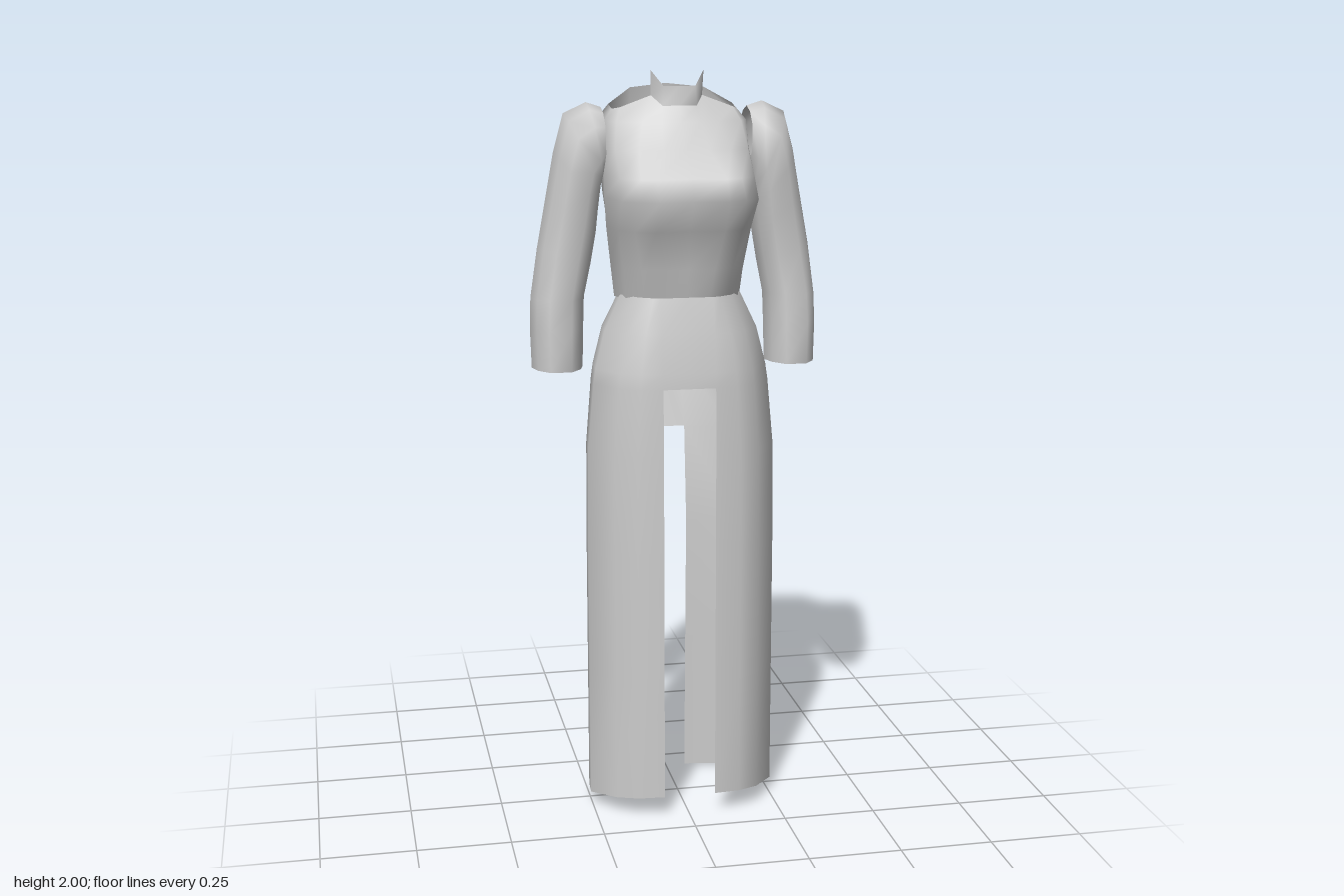
import * as THREE from 'three';

const cloth = new THREE.MeshStandardMaterial({ color: 0xcccccc, side: THREE.DoubleSide });
cloth.name = 'grey cloth';

// Skin rows of points, listed top to bottom, each running front -> +x -> back -> -x
function loft(name, rows, closed = true, skip = () => false) {
  const n = rows[0].length;
  const index = [];
  for (let r = 0; r < rows.length - 1; r++) {
    for (let i = 0; i < (closed ? n : n - 1); i++) {
      if (skip(r, i, n)) continue;
      const j = (i + 1) % n;
      const a = r * n + i, b = r * n + j, c = a + n, d = b + n;
      index.push(a, c, b, b, c, d);
    }
  }
  const geometry = new THREE.BufferGeometry();
  geometry.setAttribute('position', new THREE.Float32BufferAttribute(rows.flat(2), 3));
  geometry.setIndex(index);
  geometry.computeVertexNormals();
  const mesh = new THREE.Mesh(geometry, cloth);
  mesh.name = name;
  return mesh;
}

// Complete a half ring (front centre to back centre) by mirroring it
const mirrorRing = half => [
  ...half,
  ...half.slice(1, -1).reverse().map(([x, y, z]) => [-x, y, z]),
];

function makeBodice() {
  const neckline = [
    [0, 1.91, 0.03], [0.045, 1.91, 0.03], [0.068, 1.935, -0.014], [0.15, 1.905, -0.015],
    [0.165, 1.9, -0.05], [0.167, 1.91, -0.095], [0.1, 1.95, -0.145], [0, 1.96, -0.165],
  ];
  // height, then x,z pairs from front centre to back centre
  const sections = [
    [1.87, [0, .06], [.05, .057], [.1, .045], [.165, .02], [.19, -.03], [.197, -.113], [.1, -.163], [0, -.176]],
    [1.8, [0, .115], [.06, .12], [.12, .1], [.175, .06], [.195, -.02], [.192, -.108], [.1, -.158], [0, -.168]],
    [1.735, [0, .182], [.09, .2], [.13, .185], [.175, .135], [.195, 0], [.19, -.1], [.1, -.152], [0, -.16]],
    [1.68, [0, .215], [.09, .227], [.14, .2], [.178, .17], [.198, .02], [.185, -.09], [.095, -.145], [0, -.152]],
    [1.6, [0, .165], [.09, .175], [.14, .15], [.175, .1], [.192, .01], [.175, -.08], [.09, -.132], [0, -.14]],
    [1.5, [0, .145], [.07, .148], [.12, .13], [.16, .08], [.18, 0], [.16, -.07], [.08, -.115], [0, -.12]],
    [1.415, [0, .125], [.06, .125], [.11, .105], [.15, .06], [.17, -.005], [.145, -.06], [.07, -.1], [0, -.103]],
  ];
  const rows = sections.map(([y, ...pts]) => mirrorRing(pts.map(([x, z]) => [x, y, z])));
  return loft('bodice', [mirrorRing(neckline), ...rows]);
}

function makeCollar() {
  const strip = half => [...half.slice(1).reverse().map(([x, y, z]) => [-x, y, z]), ...half];
  return loft('collar', [
    strip([[0, 1.96, 0.025], [0.042, 1.96, 0.025], [0.07, 2.0, -0.005]]),
    strip([[0, 1.91, 0.03], [0.045, 1.91, 0.03], [0.068, 1.935, -0.014]]),
  ], false);
}

function makeSkirt() {
  // height, half width, front z, back z, fullness of the back corner
  const levels = [
    [1.425, 0.16, 0.13, -0.105, 0.135],
    [1.33, 0.205, 0.15, -0.198, 0.15],
    [1.23, 0.23, 0.163, -0.226, 0.155],
    [1.19, 0.236, 0.165, -0.22, 0.16],
    [1.015, 0.252, 0.17, -0.178, 0.18],
    [0.75, 0.255, 0.172, -0.15, 0.19],
    [0.4, 0.255, 0.173, -0.16, 0.19],
    [0, 0.255, 0.175, -0.172, 0.19],
  ];
  const rows = levels.map(([y, w, f, b, corner]) => {
    const half = [
      [0, f], [0.07, f], [w * 0.55, f * 0.95], [w * 0.77, f * 0.77], [w, f * 0.3],
      [w * 0.97, b * 0.2], [corner, b * 0.8], [0.055, b], [0, b],
    ];
    // the hem slopes down towards the back
    return mirrorRing(half.map(([x, z]) => [x, y > 0 ? y : 0.028 + z * 0.165, z]));
  });
  // open slits at the centre front and the centre back
  const slit = (r, i, n) =>
    (r >= 3 && (i === 0 || i === n - 1)) || (r >= 4 && (i === n / 2 - 1 || i === n / 2));
  return loft('skirt', rows, true, slit);
}

function makeSleeve(side) {
  // outer x,y, inner x,y, front z, back z, from shoulder opening to cuff
  const rings = [
    [0.195, 1.905, 0.192, 1.74, 0.03, -0.118],
    [0.235, 1.918, 0.196, 1.71, 0.047, -0.13],
    [0.295, 1.89, 0.2, 1.68, 0.05, -0.135],
    [0.322, 1.79, 0.205, 1.64, 0.046, -0.133],
    [0.342, 1.68, 0.211, 1.58, 0.036, -0.128],
    [0.368, 1.54, 0.225, 1.5, 0.03, -0.125],
    [0.387, 1.41, 0.244, 1.41, 0.035, -0.136],
    [0.39, 1.33, 0.247, 1.33, 0.04, -0.138],
    [0.387, 1.222, 0.25, 1.222, 0.04, -0.135],
  ];
  // u runs inner to outer, v runs back to front
  const outline = [
    [-0.4, 1], [0.42, 1], [0.83, 0.55], [1, 0], [0.83, -0.55],
    [0.42, -1], [-0.4, -1], [-0.83, -0.55], [-1, 0], [-0.83, 0.55],
  ];
  const mix = THREE.MathUtils.lerp;
  const rows = rings.map(([ox, oy, ix, iy, f, b]) => {
    const ring = outline.map(([u, v]) => [
      side * mix(ix, ox, (u + 1) / 2), mix(iy, oy, (u + 1) / 2), mix(b, f, (v + 1) / 2),
    ]);
    return side > 0 ? ring : ring.reverse();
  });
  return loft(side > 0 ? 'leftSleeve' : 'rightSleeve', rows);
}

export function createModel() {
  const dress = new THREE.Group();
  dress.name = 'dress';
  dress.add(makeBodice(), makeCollar(), makeSkirt(), makeSleeve(1), makeSleeve(-1));
  return dress;
}
